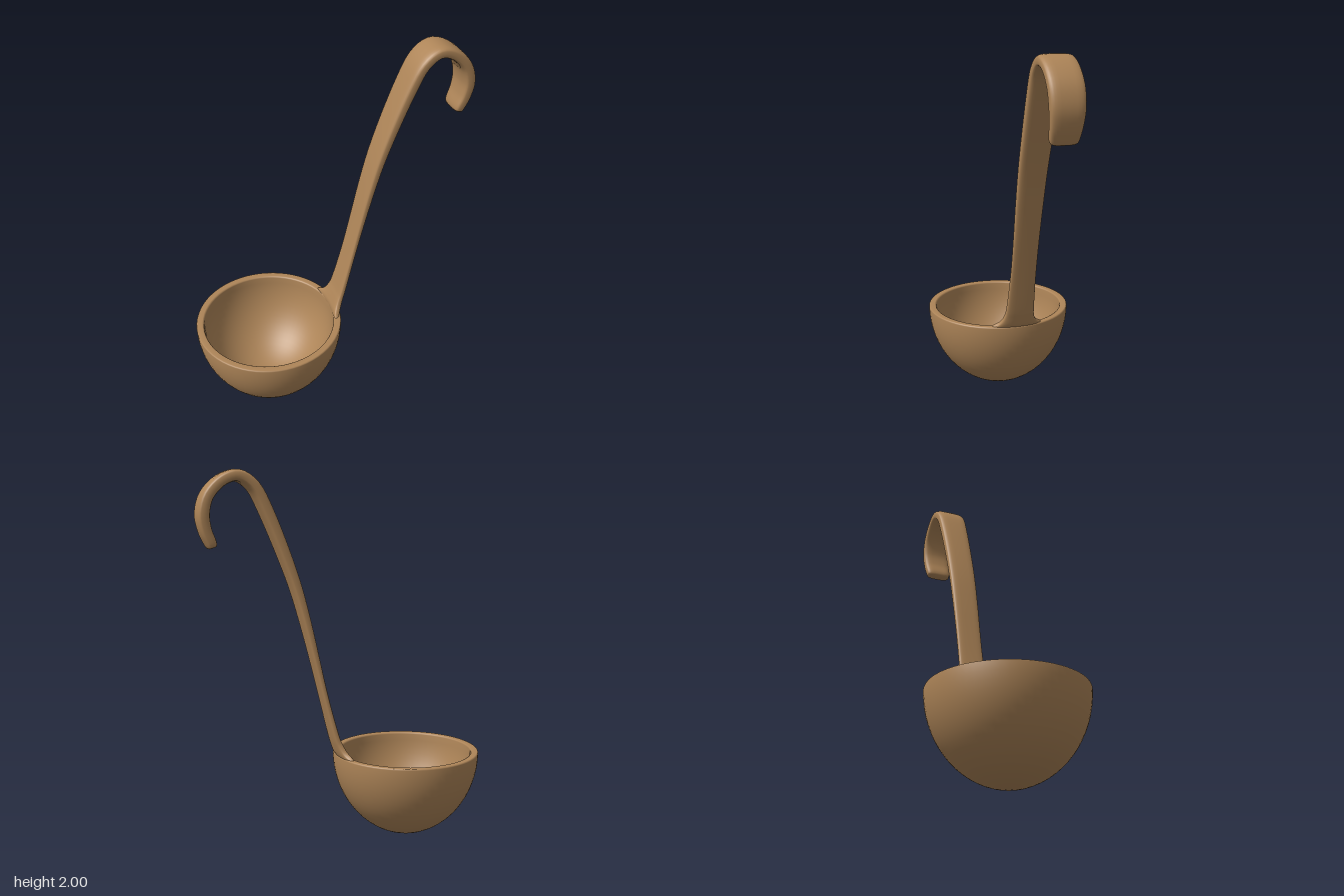
import * as THREE from 'three';

const wood = new THREE.MeshStandardMaterial({ color: 0xae8558 });
wood.name = 'warm wood';

const BOWL_X = -0.37;
const BOWL_R = 0.405;

// Hollow bowl: outer curve, flat rounded lip, inner curve
function makeBowl() {
  const profile = [];
  const steps = 18;
  for (let i = 0; i <= steps; i++) {
    const a = (i / steps) * Math.PI / 2;
    profile.push(new THREE.Vector2(BOWL_R * Math.sin(a) ** 1.04, 0.468 * (1 - Math.cos(a))));
  }
  profile.push(new THREE.Vector2(0.403, 0.474), new THREE.Vector2(0.398, 0.476));
  profile.push(new THREE.Vector2(0.372, 0.476), new THREE.Vector2(0.366, 0.473));
  for (let i = steps; i >= 0; i--) {
    const a = (i / steps) * Math.PI / 2;
    profile.push(new THREE.Vector2(0.363 * Math.sin(a), 0.04 + 0.427 * (1 - Math.cos(a))));
  }
  const bowl = new THREE.Mesh(new THREE.LatheGeometry(profile, 64), wood);
  bowl.name = 'bowl';
  bowl.position.x = BOWL_X;
  return bowl;
}

// Flat handle swept along a hooked path: x, y, half width, half thickness, bend around the bowl
const stations = [
  [0.010, 0.430, 0.170, 0.014, 1],
  [0.011, 0.472, 0.145, 0.018, 1],
  [0.022, 0.500, 0.105, 0.021, 0.9],
  [0.036, 0.540, 0.085, 0.020, 0.6],
  [0.055, 0.600, 0.077, 0.018, 0.3],
  [0.105, 0.800, 0.070, 0.016, 0],
  [0.153, 1.000, 0.070, 0.018, 0],
  [0.202, 1.200, 0.073, 0.022, 0],
  [0.258, 1.400, 0.076, 0.026, 0],
  [0.330, 1.600, 0.079, 0.030, 0],
  [0.413, 1.800, 0.083, 0.032, 0],
  [0.475, 1.915, 0.086, 0.031, 0],
  [0.555, 1.968, 0.087, 0.031, 0],
  [0.640, 1.943, 0.087, 0.031, 0],
  [0.710, 1.870, 0.087, 0.032, 0],
  [0.735, 1.780, 0.085, 0.033, 0],
  [0.724, 1.700, 0.079, 0.031, 0],
  [0.700, 1.640, 0.073, 0.029, 0],
  [0.692, 1.617, 0.068, 0.025, 0],
];

function makeHandle() {
  const path = new THREE.CatmullRomCurve3(stations.map(s => new THREE.Vector3(s[0], s[1], -0.004)));
  const size = new THREE.CatmullRomCurve3(stations.map(s => new THREE.Vector3(s[2], s[3], s[4])));
  path.curveType = size.curveType = 'catmullrom';
  const rings = (stations.length - 1) * 4;
  const sides = 28;
  const round = v => Math.sign(v) * Math.abs(v) ** 0.55;
  const positions = [];
  const index = [];

  const addRing = (u, scale, push) => {
    const p = path.getPoint(u);
    const t = path.getTangent(u);
    const s = size.getPoint(u);
    p.addScaledVector(t, push);
    for (let j = 0; j < sides; j++) {
      const a = (j / sides) * Math.PI * 2;
      const n = s.y * round(Math.cos(a)) * scale;
      const z = s.x * round(Math.sin(a)) * scale;
      const bend = s.z * (BOWL_R - Math.sqrt(BOWL_R * BOWL_R - z * z));
      positions.push(p.x - t.y * n - bend, p.y + t.x * n, p.z + z);
    }
  };
  for (let i = 0; i <= rings; i++) addRing(i / rings, 1, 0);
  // Rounded closing of the hook tip
  addRing(1, 0.85, 0.007);
  addRing(1, 0.01, 0.009);

  for (let i = 0; i < rings + 2; i++) {
    for (let j = 0; j < sides; j++) {
      const a = i * sides + j;
      const b = i * sides + (j + 1) % sides;
      index.push(a, b, a + sides, b, b + sides, a + sides);
    }
  }
  const geometry = new THREE.BufferGeometry();
  geometry.setAttribute('position', new THREE.Float32BufferAttribute(positions, 3));
  geometry.setIndex(index);
  geometry.computeVertexNormals();
  const handle = new THREE.Mesh(geometry, wood);
  handle.name = 'hookedHandle';
  return handle;
}

export function createModel() {
  const ladle = new THREE.Group();
  ladle.name = 'ladle';
  ladle.add(makeBowl(), makeHandle());
  return ladle;
}
